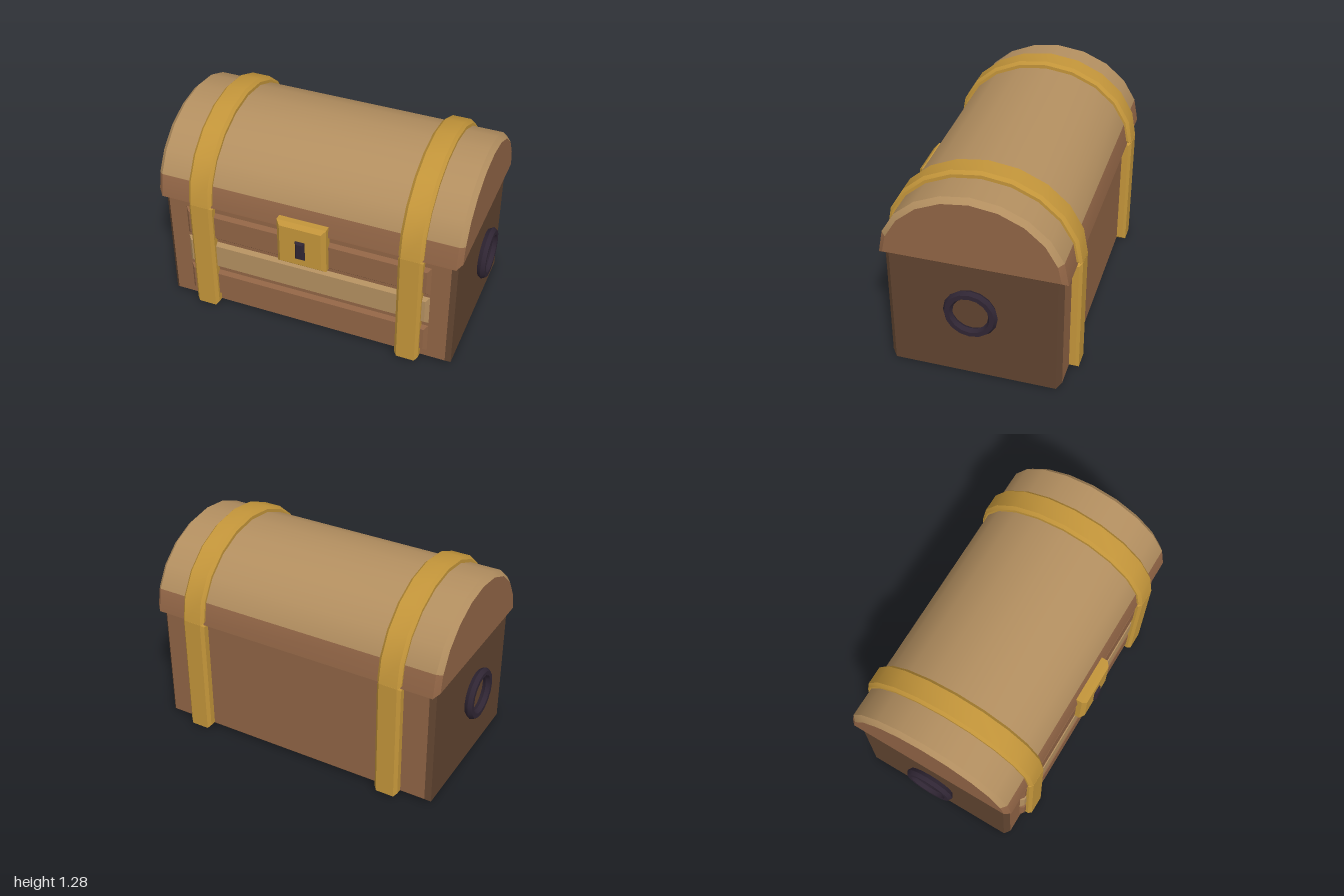
import * as THREE from 'three';
import { toCreasedNormals } from 'three/addons/utils/BufferGeometryUtils.js';

const material = (name, color) => {
  const m = new THREE.MeshStandardMaterial({ color });
  m.name = name;
  return m;
};

// Rectangle outline, from corner to corner
function rectangle(x0, y0, x1, y1) {
  return new THREE.Shape([[x0, y0], [x1, y0], [x1, y1], [x0, y1]].map(p => new THREE.Vector2(...p)));
}

// Points of a half ellipse standing on height y, in ten segments
function arch(a, b, y) {
  return Array.from({ length: 11 }, (_, i) => {
    const t = Math.PI * i / 10;
    return new THREE.Vector2(a * Math.cos(t), y + b * Math.sin(t));
  });
}

// Chamfered extrusion, centred on z, staying inside its outline
function chamfered(shape, depth, bevel) {
  const g = new THREE.ExtrudeGeometry(shape, {
    depth: depth - 2 * bevel, bevelEnabled: true, bevelSegments: 1,
    bevelThickness: bevel, bevelSize: bevel, bevelOffset: -bevel,
  });
  g.translate(0, 0, bevel - depth / 2);
  return toCreasedNormals(g, 0.5);
}

export function createModel() {
  const brown = material('brown wood', 0x906445);
  const tan = material('light wood', 0xb38f60);
  const dark = material('dark wood', 0x5f432f);
  const gold = material('gold metal', 0xc3953a);
  const iron = material('dark iron', 0x2f2533);

  const model = new THREE.Group();
  model.name = 'treasureChest';
  const chest = new THREE.Group();
  chest.name = 'chest';
  chest.position.z = -0.017;
  model.add(chest);

  const add = (name, geometry, mat, x = 0, y = 0, z = 0) => {
    const mesh = new THREE.Mesh(geometry, mat);
    mesh.name = name;
    mesh.position.set(x, y, z);
    chest.add(mesh);
    return mesh;
  };

  // Body: brown front and back, dark frame
  add('body', chamfered(rectangle(-0.925, 0, 0.925, 0.79), 1.044, 0.03), [brown, dark]);

  // Lid: light curved top, brown ends and lower edges
  const lid = chamfered(new THREE.Shape(arch(0.55, 0.47, 0.775)), 1.91, 0.03);
  const p = lid.attributes.position;
  const caps = lid.groups[0].count;
  lid.clearGroups();
  for (let i = 0; i < p.count; i += 3) {
    const y = (p.getY(i) + p.getY(i + 1) + p.getY(i + 2)) / 3;
    lid.addGroup(i, 3, i < caps || y < 0.92 ? 0 : 1);
  }
  lid.rotateY(Math.PI / 2);
  add('lid', lid, [brown, tan]);

  // Front planks
  [0.175, 0.398, 0.62].forEach((y, i) => {
    const plank = chamfered(rectangle(-0.78, -0.1, 0.78, 0.1), 0.08, 0.022);
    add('frontPlank', plank, i === 1 ? tan : brown, 0, y, 0.504);
  });

  // Metal bands: an arch over the lid and straps down front and back
  const ring = new THREE.Shape([...arch(0.578, 0.505, 0.78), ...arch(0.51, 0.437, 0.78).reverse()]);
  const archGeometry = chamfered(ring, 0.15, 0.018).rotateY(Math.PI / 2);
  const strapGeometry = chamfered(rectangle(-0.04, 0.015, 0.04, 0.785), 0.15, 0.018).rotateY(Math.PI / 2);
  for (const side of [-1, 1]) {
    add('lidBand', archGeometry, gold, side * 0.6625);
    for (const end of [-1, 1]) add('bodyStrap', strapGeometry, gold, side * 0.6625, 0, end * 0.538);

    // Ring handle
    const handle = add('ringHandle', toCreasedNormals(new THREE.TorusGeometry(0.134, 0.028, 6, 16), 0.5),
      iron, side * 0.976, 0.49, 0);
    handle.rotation.y = Math.PI / 2;
  }

  // Lock plate and keyhole
  add('lockPlate', chamfered(rectangle(-0.155, -0.155, 0.155, 0.155), 0.1, 0.024), gold, 0, 0.69, 0.55);
  add('keyhole', chamfered(rectangle(-0.03, -0.064, 0.03, 0.064), 0.05, 0.012), iron, 0, 0.67, 0.592);

  return model;
}
